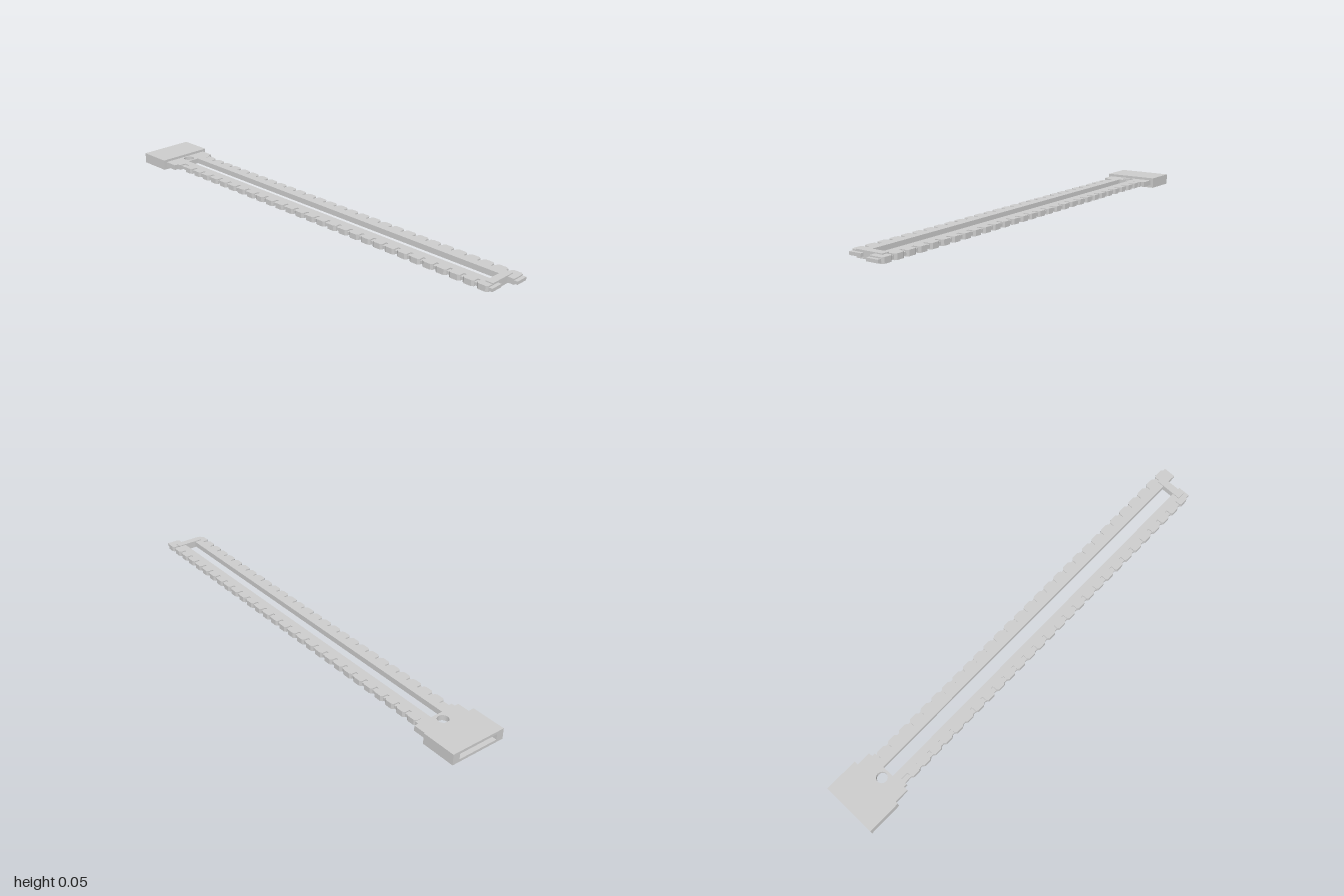
import * as THREE from 'three';

const material = new THREE.MeshStandardMaterial({ color: 0xcccccc, flatShading: true });

function add(parent, name, geometry) {
  const mesh = new THREE.Mesh(geometry, material);
  mesh.name = name;
  parent.add(mesh);
  return mesh;
}

// Box given by its minimum and maximum corners
function block(parent, name, [x0, y0, z0], [x1, y1, z1]) {
  const g = new THREE.BoxGeometry(x1 - x0, y1 - y0, z1 - z0);
  g.translate((x0 + x1) / 2, (y0 + y1) / 2, (z0 + z1) / 2);
  return add(parent, name, g);
}

function outline(points) {
  return new THREE.Shape(points.map(([x, y]) => new THREE.Vector2(x, y)));
}

// Plan outline in x and z, raised from y0 to y1
function slab(parent, name, shape, y0, y1) {
  const g = new THREE.ExtrudeGeometry(shape, { depth: y1 - y0, bevelEnabled: false, curveSegments: 12 });
  g.rotateX(Math.PI / 2);
  g.translate(0, y1, 0);
  return add(parent, name, g);
}

// One rail with a row of chamfered teeth along its outer edge
function makeRail(side, end) {
  const rail = new THREE.Group();
  rail.name = side > 0 ? 'leftRail' : 'rightRail';
  const xs = (a, b) => (side > 0 ? [a, b] : [-b, -a]);
  const [c0, c1] = xs(0.027, 0.081);
  block(rail, 'railCore', [c0, 0.017, -0.8], [c1, 0.03, end]);
  const [s0, s1] = xs(0.027, 0.06);
  block(rail, 'railStrip', [s0, 0.012, -0.8], [s1, 0.035, end - 0.015]);

  const pitch = 0.061, half = 0.0245;
  for (let z = end - 0.04; z > -0.77; z -= pitch) {
    const points = [
      [0.055, z - half], [0.081, z - half], [0.088, z - half + 0.009],
      [0.088, z + half - 0.009], [0.081, z + half], [0.055, z + half],
    ].map(([x, zz]) => [x * side, zz]);
    slab(rail, 'tooth', outline(points), 0.012, 0.035);
  }
  return rail;
}

export function createModel() {
  const model = new THREE.Group();

  // Handle with a slot in its rear end
  const socket = outline([[-0.122, 0], [0.122, 0], [0.122, 0.046], [-0.122, 0.046]]);
  socket.holes.push(outline([[-0.09, 0.011], [-0.09, 0.035], [0.09, 0.035], [0.09, 0.011]]));
  const shell = new THREE.ExtrudeGeometry(socket, { depth: 0.12, bevelEnabled: false });
  shell.translate(0, 0, -1);
  const handle = new THREE.Group();
  handle.name = 'handle';
  add(handle, 'handleShell', shell);
  block(handle, 'handleFront', [-0.122, 0, -0.88], [0.122, 0.046, -0.853]);
  model.add(handle);

  // Stepped yoke with a round hole, joining both rails
  const yoke = outline([
    [-0.108, -0.86], [0.108, -0.86], [0.108, -0.79], [0.09, -0.79], [0.09, -0.775], [0.028, -0.775],
    [0.028, -0.79], [-0.028, -0.79], [-0.028, -0.775], [-0.09, -0.775], [-0.09, -0.79], [-0.108, -0.79],
  ]);
  const hole = new THREE.Path();
  hole.absarc(0, -0.823, 0.023, 0, Math.PI * 2, true);
  yoke.holes.push(hole);
  slab(model, 'yoke', yoke, 0.012, 0.035);

  // Rails of unequal length
  model.add(makeRail(1, 1), makeRail(-1, 0.97));

  // Cross clip near the tips: plates above and below with a web between the rails
  block(model, 'clipTop', [-0.06, 0.034, 0.925], [0.06, 0.039, 0.957]);
  block(model, 'clipBottom', [-0.06, 0.008, 0.925], [0.06, 0.013, 0.957]);
  block(model, 'clipWeb', [-0.028, 0.012, 0.925], [0.028, 0.035, 0.957]);

  return model;
}
